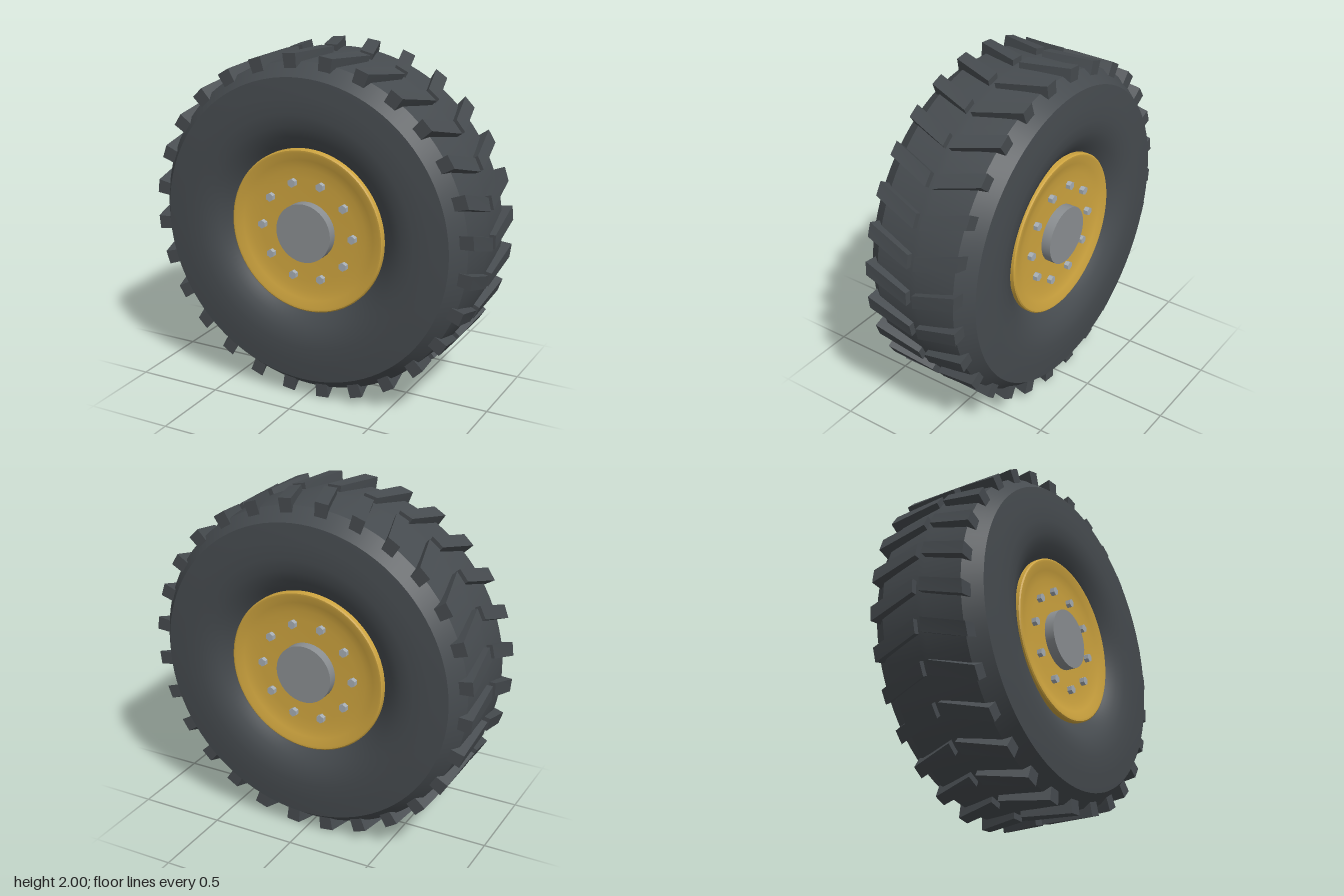
import * as THREE from 'three';
import { toCreasedNormals } from 'three/addons/utils/BufferGeometryUtils.js';

const mat = (name, color) => {
  const m = new THREE.MeshStandardMaterial({ color });
  m.name = name;
  return m;
};

// Turns a [radius, z] half profile (rim outward side, z >= 0) mirrored about z = 0
function mirroredLathe(half, segments, crease) {
  const pts = [
    ...half.map(([r, z]) => new THREE.Vector2(r, -z)),
    ...half.slice().reverse().map(([r, z]) => new THREE.Vector2(r, z)),
  ];
  const g = new THREE.LatheGeometry(pts, segments).rotateX(Math.PI / 2);
  return toCreasedNormals(g, crease);
}

// Slanted tread bar wrapped around the crown; side = +1 front row, -1 back row
function lugGeometry(side) {
  const width = 0.08, sweep = 0.09, zIn = 0.02, zOut = 0.29;
  const g = new THREE.BoxGeometry(width, 0.1, zOut - zIn);
  g.translate(0, 0.95, side * (zIn + zOut) / 2);
  const p = g.attributes.position;
  for (let i = 0; i < p.count; i++) {
    const t = (Math.abs(p.getZ(i)) - zIn) / (zOut - zIn);
    const a = p.getX(i) + sweep * (0.5 - t) - 0.055;
    const r = p.getY(i);
    p.setXY(i, Math.sin(a) * r, Math.cos(a) * r);
  }
  g.computeVertexNormals();
  return g;
}

export function createModel() {
  const rubber = mat('rubber', 0x464b4f);
  const gold = mat('gold paint', 0xcfa53f);
  const hubGrey = mat('hub grey', 0x8a8e91);
  const steel = mat('bolt steel', 0xa6adb3);

  const model = new THREE.Group();
  model.name = 'wheel';
  const wheel = new THREE.Group();
  wheel.name = 'wheelAssembly';
  wheel.position.y = 1;
  model.add(wheel);

  const add = (name, geometry, material, parent = wheel) => {
    const m = new THREE.Mesh(geometry, material);
    m.name = name;
    parent.add(m);
    return m;
  };

  // Tyre carcass: bead, bulging sidewall, shoulder, crown
  add('tyre', mirroredLathe([
    [0.46, 0.255], [0.5, 0.29], [0.55, 0.325], [0.61, 0.349], [0.68, 0.357],
    [0.78, 0.353], [0.88, 0.343], [0.95, 0.25], [0.965, 0.02],
  ].slice(), 96, 0.5), rubber);

  // Chevron tread bars
  const tread = new THREE.Group();
  tread.name = 'tread';
  wheel.add(tread);
  const lugCount = 28;
  for (const side of [1, -1]) {
    const g = lugGeometry(side);
    for (let i = 0; i < lugCount; i++) {
      add('treadLug', g, rubber, tread).rotation.z = (i / lugCount) * Math.PI * 2;
    }
  }

  // Dished rim with a raised lip on both sides
  add('rim', mirroredLathe([
    [0, 0.27], [0.3, 0.27], [0.36, 0.274], [0.41, 0.283], [0.455, 0.3],
    [0.468, 0.3], [0.475, 0.294], [0.475, 0.25],
  ], 72, 0.5), gold);

  // Hub cap and bolt circle on each face
  const hubGeo = new THREE.CylinderGeometry(0.17, 0.17, 0.08, 48).rotateX(Math.PI / 2);
  const boltGeo = toCreasedNormals(
    new THREE.CylinderGeometry(0.025, 0.025, 0.05, 6).rotateX(Math.PI / 2), 0.3);
  for (const side of [1, -1]) {
    add('hubCap', hubGeo, hubGrey).position.z = side * 0.287;
    for (let i = 0; i < 10; i++) {
      const a = (i / 10) * Math.PI * 2;
      add('wheelBolt', boltGeo, steel)
        .position.set(Math.cos(a) * 0.285, Math.sin(a) * 0.285, side * 0.273);
    }
  }
  return model;
}
